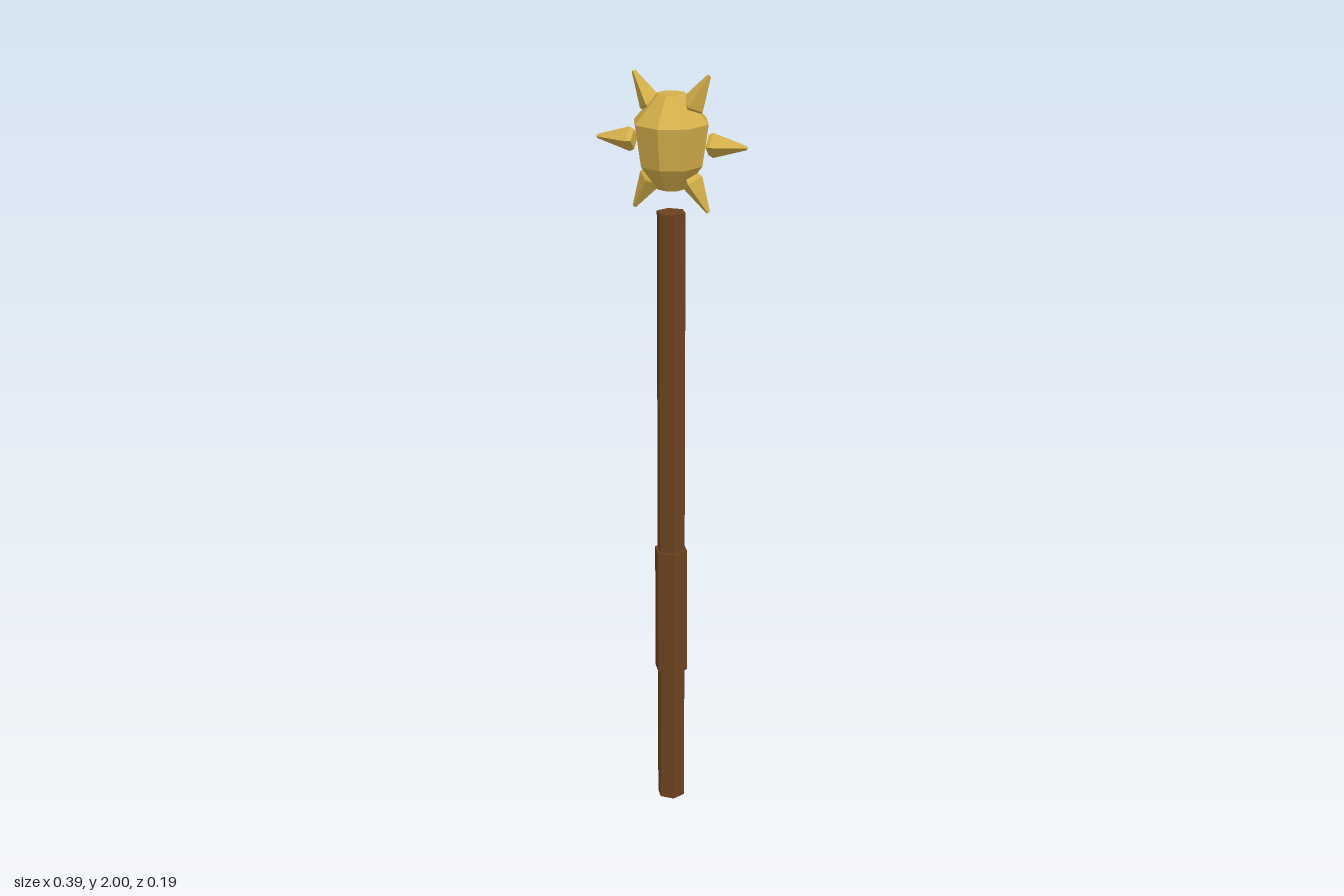
import * as THREE from 'three';

const material = (name, color) => {
  const m = new THREE.MeshStandardMaterial({ color, flatShading: true });
  m.name = name;
  return m;
};

export function createModel() {
  const gold = material('gold', 0xd4af4a);
  const wood = material('brown wood', 0x6b4220);
  const model = new THREE.Group();
  model.name = 'spikedMace';

  const add = (name, geometry, mat, y) => {
    const mesh = new THREE.Mesh(geometry, mat);
    mesh.name = name;
    mesh.position.y = y;
    model.add(mesh);
    return mesh;
  };
  // Faceted solid turned from [radius, height] pairs, bottom to top
  const turned = (points, sides) =>
    new THREE.LatheGeometry(points.map(([r, y]) => new THREE.Vector2(r, y)), sides);
  // Hexagonal bar with corners towards +x and -x
  const hexBar = (radius, height) =>
    new THREE.CylinderGeometry(radius, radius, height, 6, 1, false, Math.PI / 6);

  // Shaft and thicker grip
  add('shaft', hexBar(0.038, 1.655), wood, 1.655 / 2);
  add('grip', hexBar(0.045, 0.35), wood, 0.565);

  // Eight-sided head, floating just above the shaft
  const centre = 1.83;
  add('head', turned([
    [0, -0.115], [0.036, -0.115], [0.081, -0.055],
    [0.097, 0.05], [0.036, 0.12], [0, 0.12],
  ], 8), gold, centre);

  // Ring of six four-sided spikes
  const spike = turned([[0, 0.097], [0.025, 0.097], [0.031, 0.109], [0.005, 0.195], [0, 0.195]], 4);
  for (let i = 0; i < 6; i++) {
    add('spike' + (i + 1), spike, gold, centre).rotation.z = Math.PI / 6 + i * Math.PI / 3;
  }
  return model;
}
